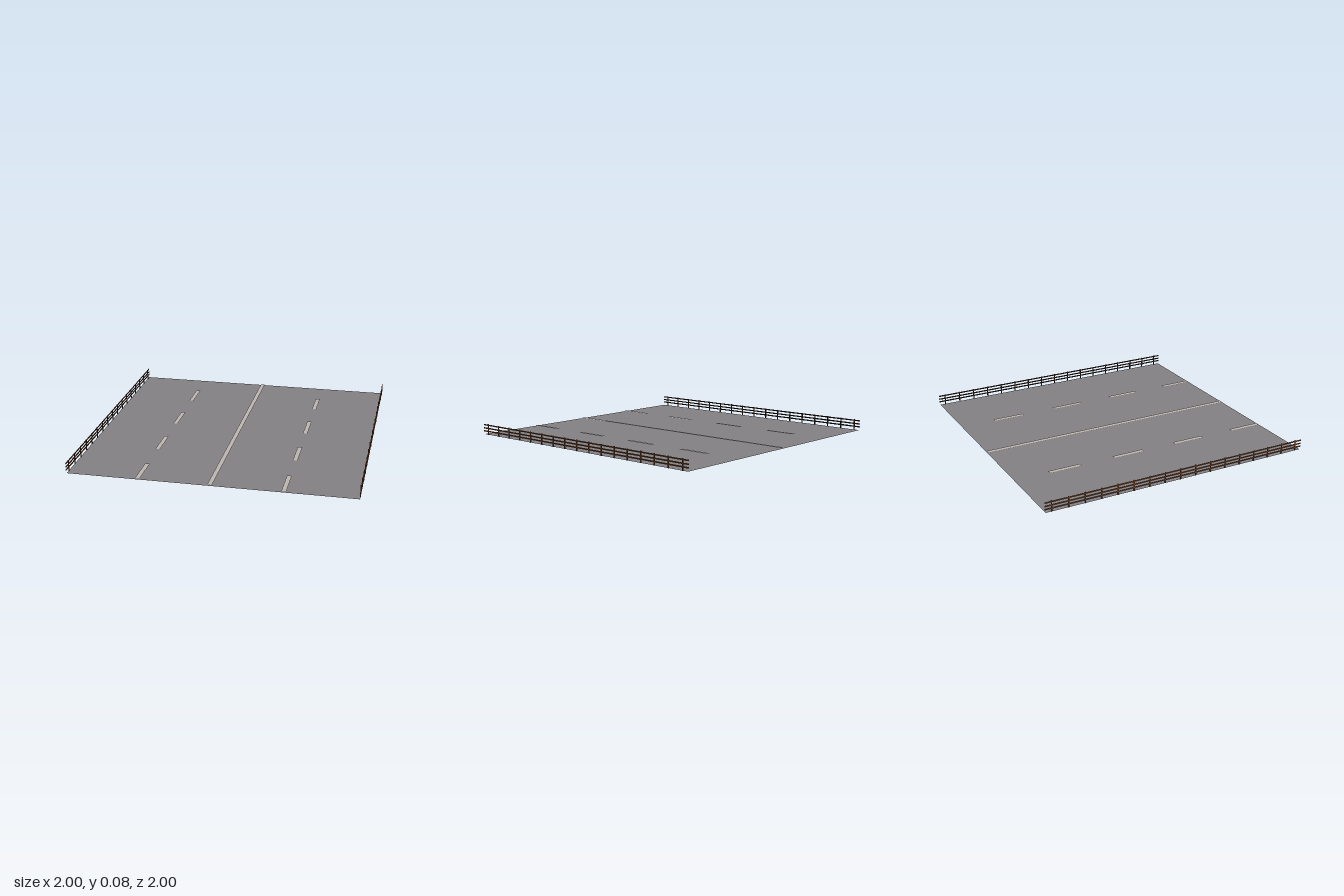
import * as THREE from 'three';

const paint = (name, color, side = THREE.FrontSide) =>
  new THREE.MeshStandardMaterial({ name, color, side });

export function createModel() {
  const asphalt = paint('asphalt', 0x848286, THREE.DoubleSide);
  const linePaint = paint('line paint', 0xbfb8b2, THREE.DoubleSide);
  const wood = paint('wood', 0x7a4828);
  const darkWood = paint('dark wood', 0x33241d);

  const model = new THREE.Group();
  model.name = 'road';

  // Flat horizontal sheet
  const sheet = (name, material, width, length, x, y, z) => {
    const geometry = new THREE.PlaneGeometry(width, length).rotateX(-Math.PI / 2);
    const mesh = new THREE.Mesh(geometry, material);
    mesh.name = name;
    mesh.position.set(x, y, z);
    model.add(mesh);
  };

  // Road surface and painted lines
  sheet('roadSurface', asphalt, 1.99, 1.99, 0, 0.001, 0);
  sheet('centreLine', linePaint, 0.032, 1.98, 0, 0.007, 0);
  for (const x of [-0.497, 0.497]) {
    for (let i = 0; i < 4; i++) {
      sheet('laneDash', linePaint, 0.032, 0.24, x, 0.007, -0.62 + i * 0.495);
    }
  }

  // Fences along both sides, darker on the face towards the road
  for (const side of [-1, 1]) {
    const fence = new THREE.Group();
    fence.name = side > 0 ? 'leftFence' : 'rightFence';
    const outer = [wood, wood, wood, wood, wood, wood];
    outer[side > 0 ? 1 : 0] = darkWood;

    const beam = (name, width, height, length, x, y, z) => {
      const mesh = new THREE.Mesh(new THREE.BoxGeometry(width, height, length), outer);
      mesh.name = name;
      mesh.position.set(side * x, y, z);
      fence.add(mesh);
    };
    for (const y of [0.026, 0.048, 0.072]) {
      beam('rail', 0.004, 0.009, 2, 0.996, y, 0);
    }
    for (let i = -8; i <= 8; i++) {
      beam('post', 0.006, 0.08, 0.007, 0.994, 0.04, i * 0.119);
    }
    model.add(fence);
  }

  return model;
}
